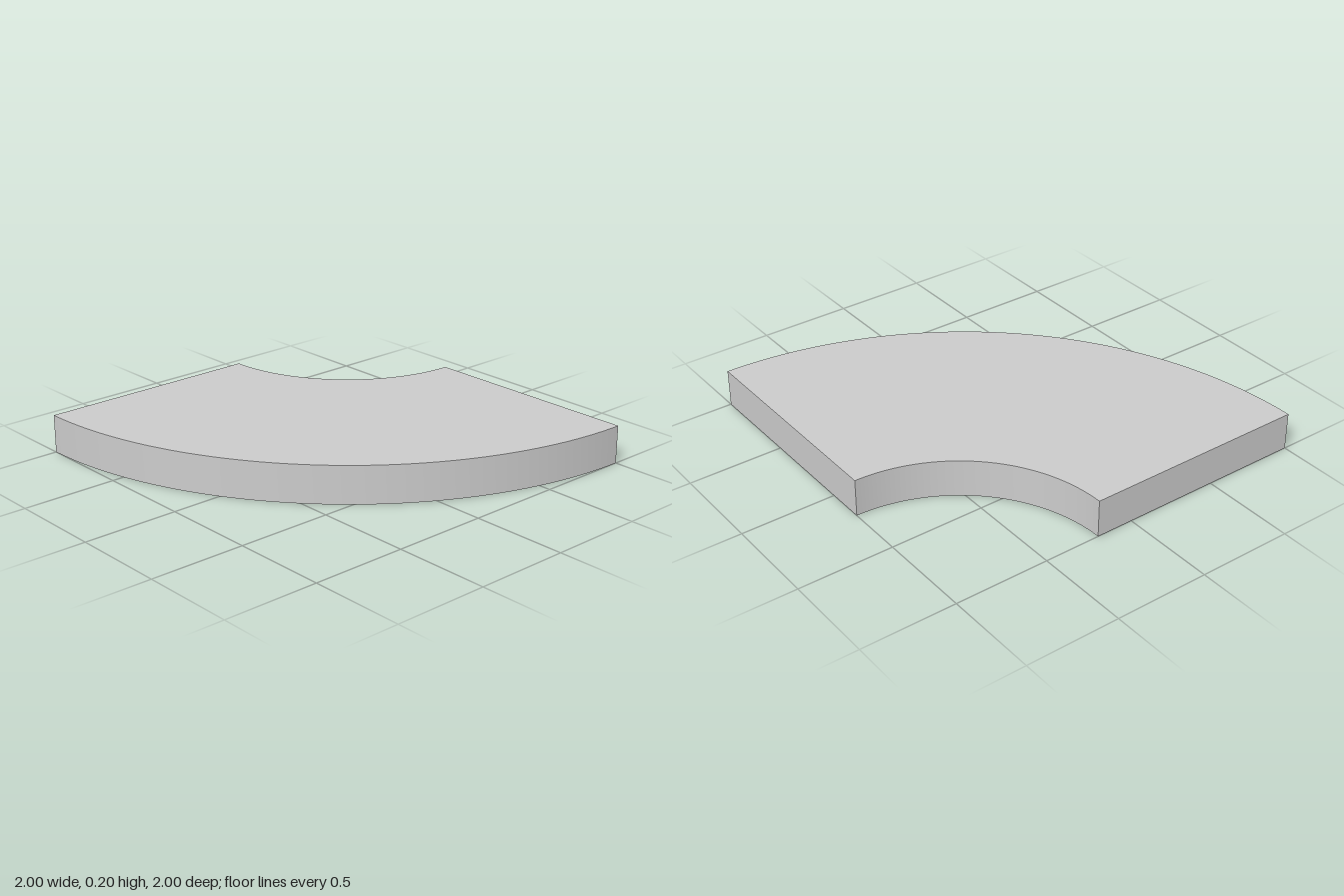
import * as THREE from 'three';
import { toCreasedNormals } from 'three/addons/utils/BufferGeometryUtils.js';

const INNER = 0.8, OUTER = 2, HEIGHT = 0.2;

export function createModel() {
  const group = new THREE.Group();
  group.name = 'curvedSlab';

  // Quarter-ring outline around the origin
  const outline = new THREE.Shape();
  outline.moveTo(INNER, 0);
  outline.lineTo(OUTER, 0);
  outline.absarc(0, 0, OUTER, 0, Math.PI / 2, false);
  outline.lineTo(0, INNER);
  outline.absarc(0, 0, INNER, Math.PI / 2, 0, true);

  // Extrude, lay flat and move the arc centre to the back right corner
  const slab = new THREE.ExtrudeGeometry(outline, { depth: HEIGHT, bevelEnabled: false, curveSegments: 48 });
  slab.rotateX(Math.PI / 2);
  slab.translate(-1, HEIGHT, -1);

  const mesh = new THREE.Mesh(
    toCreasedNormals(slab, Math.PI / 6),
    new THREE.MeshStandardMaterial({ color: 0xcccccc })
  );
  mesh.name = 'quarterRingSlab';
  group.add(mesh);
  return group;
}
